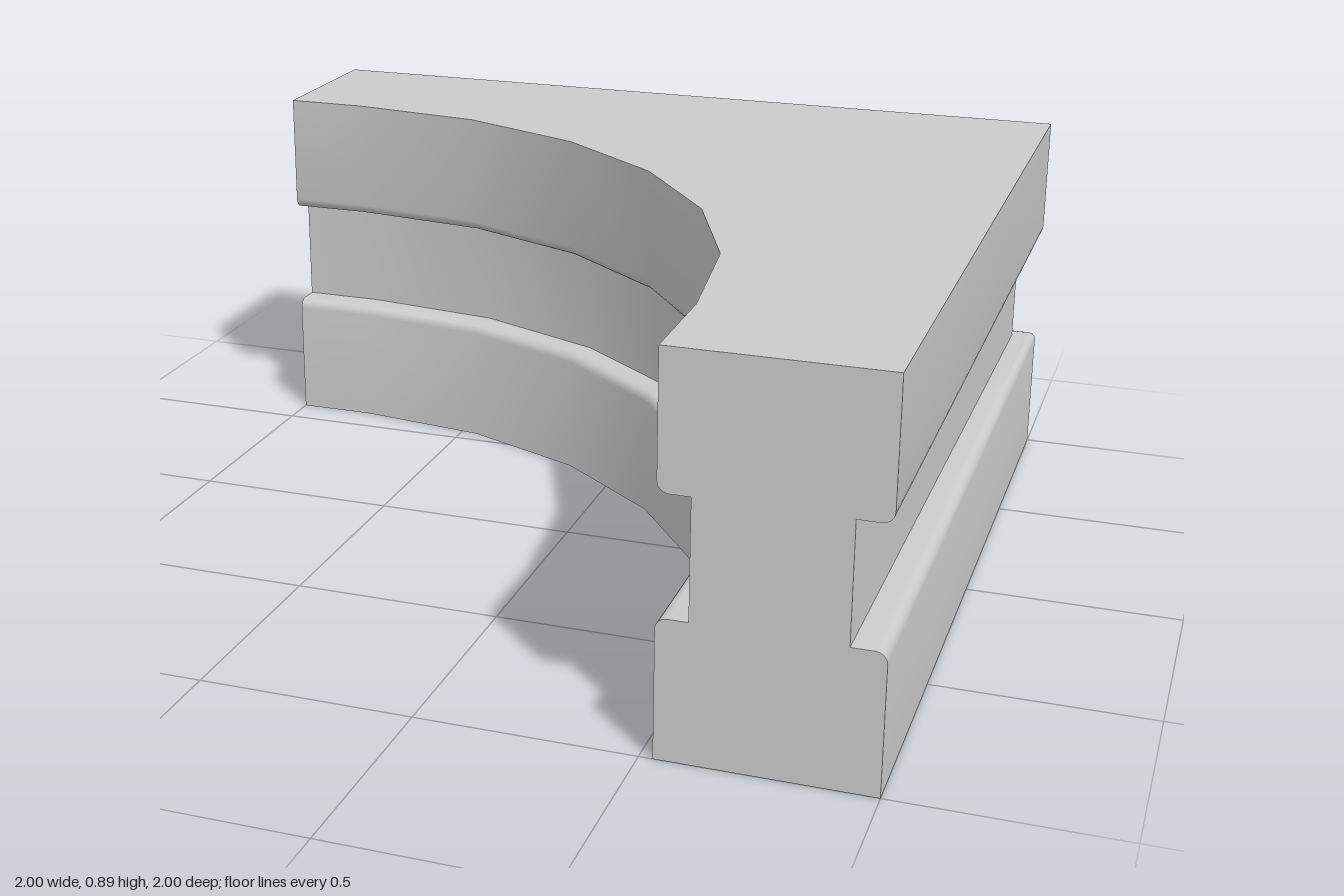
import * as THREE from 'three';
import { toCreasedNormals } from 'three/addons/utils/BufferGeometryUtils.js';

const HEIGHT = 0.895, GROOVE_LOW = 0.32, GROOVE_HIGH = 0.59, LIP = 0.025;
const CENTRE_X = -0.8, CENTRE_Z = 0.74, RADIUS = 1.33;
const ARC_STEPS = 6, LAST = ARC_STEPS + 2, CORNER = LAST / 2;

// One side of the section from bottom to top: [fillet inset, y, 1 if in the groove]
function sideProfile() {
  const points = [[0, 0, 0]];
  const fillet = 4;
  for (let i = 0; i <= fillet; i++) {
    const a = (i / fillet) * Math.PI / 2;
    points.push([LIP * (1 - Math.cos(a)), GROOVE_LOW - LIP * (1 - Math.sin(a)), 0]);
  }
  points.push([0, GROOVE_LOW, 1], [0, GROOVE_HIGH, 1]);
  for (let i = fillet; i >= 0; i--) {
    const a = (i / fillet) * Math.PI / 2;
    points.push([LIP * (1 - Math.cos(a)), GROOVE_HIGH + LIP * (1 - Math.sin(a)), 0]);
  }
  points.push([0, HEIGHT, 0]);
  return points;
}

// Straight outer walls meeting at the back corner; the groove deepens slightly to the ends
function outerPoint(k, [inset, y, groove]) {
  const t = Math.abs(k - CORNER) / CORNER;
  const d = groove ? 0.055 + 0.02 * t : inset;
  const along = 1 - d - t * (2 - d);
  return k <= CORNER
    ? new THREE.Vector3(along, y, -1 + d)
    : new THREE.Vector3(1 - d, y, -along);
}

// Concave quarter arc with a short straight run at each end
function innerPoint(k, [inset, y, groove]) {
  const r = RADIUS + (groove ? 0.07 : inset);
  if (k === 0) return new THREE.Vector3(-1, y, CENTRE_Z - r);
  if (k === LAST) return new THREE.Vector3(CENTRE_X + r, y, 1);
  const a = ((k - 1) / ARC_STEPS) * Math.PI / 2;
  return new THREE.Vector3(CENTRE_X + r * Math.sin(a), y, CENTRE_Z - r * Math.cos(a));
}

export function createModel() {
  const group = new THREE.Group();
  group.name = 'curvedCornerBlock';
  const material = new THREE.MeshStandardMaterial({ color: 0xcccccc });

  // Cross-section rings: up the outer wall, down the inner wall
  const side = sideProfile();
  const rings = [];
  for (let k = 0; k <= LAST; k++) {
    rings.push([
      ...side.map((p) => outerPoint(k, p)),
      ...side.slice().reverse().map((p) => innerPoint(k, p)),
    ]);
  }

  const addMesh = (name, points) => {
    const geometry = new THREE.BufferGeometry().setFromPoints(points);
    const mesh = new THREE.Mesh(toCreasedNormals(geometry, Math.PI / 5), material);
    mesh.name = name;
    group.add(mesh);
  };

  // Walls, grooves, top and bottom
  const body = [];
  const n = rings[0].length;
  for (let k = 0; k < LAST; k++) {
    for (let j = 0; j < n; j++) {
      const m = (j + 1) % n;
      const a = rings[k][j], b = rings[k + 1][j], c = rings[k + 1][m], d = rings[k][m];
      body.push(a, d, c, a, c, b);
    }
  }
  addMesh('groovedBody', body);

  // Flat ends
  const addEnd = (name, ring, axis) => {
    const flat = ring.map((p) => new THREE.Vector2(p[axis], p.y));
    if (THREE.ShapeUtils.isClockWise(flat)) {
      flat.reverse();
      ring = ring.slice().reverse();
    }
    const faces = THREE.ShapeUtils.triangulateShape(flat, []);
    addMesh(name, faces.flat().map((i) => ring[i]));
  };
  addEnd('rightEnd', rings[0], 'z');
  addEnd('frontEnd', rings[LAST], 'x');

  return group;
}
